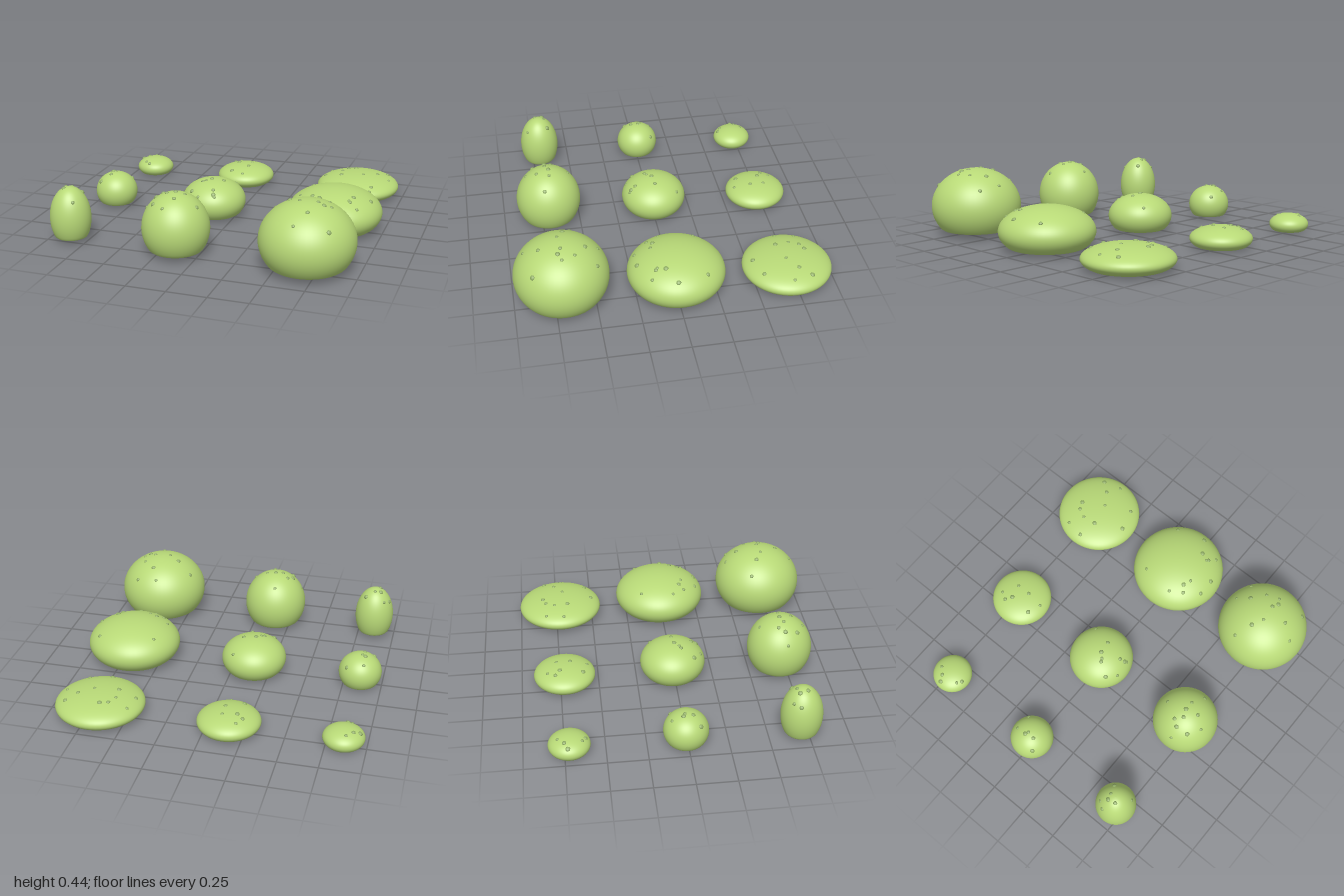
import * as THREE from 'three';

const skin = new THREE.MeshStandardMaterial({ color: 0xb8d977 });
const seedSkin = new THREE.MeshStandardMaterial({ color: 0x93b068 });

// Half-ellipse profile whose underside is pressed almost flat
function bunGeometry(radius, half) {
  const points = [];
  const steps = 40;
  for (let i = 0; i <= steps; i++) {
    const a = -Math.PI / 2 + (Math.PI * i) / steps;
    let y = Math.sin(a);
    if (y < -0.62) y = -0.62 + (y + 0.62) * 0.16;
    const onAxis = i === 0 || i === steps;
    points.push(new THREE.Vector2(onAxis ? 0 : Math.cos(a) * radius, y * half));
  }
  return new THREE.LatheGeometry(points, 56);
}

// One bun resting on the ground, with small bumps at [x, z] offsets from its centre
function makeBun(name, x, z, radius, half, bumps) {
  const bun = new THREE.Group();
  bun.name = name;
  bun.position.set(x, half * 0.8, z);

  const body = new THREE.Mesh(bunGeometry(radius, half), skin);
  body.name = 'body';
  bun.add(body);

  const up = new THREE.Vector3(0, 1, 0);
  const bumpGeometry = new THREE.SphereGeometry(1, 12, 8);
  bumps.forEach(([bx, bz], i) => {
    const by = half * Math.sqrt(Math.max(0, 1 - (bx * bx + bz * bz) / (radius * radius)));
    const normal = new THREE.Vector3(bx / radius ** 2, by / half ** 2, bz / radius ** 2).normalize();
    const size = 0.011 + 0.002 * (i % 3);
    const bump = new THREE.Mesh(bumpGeometry, seedSkin);
    bump.name = 'bump';
    bump.position.set(bx, by, bz);
    bump.quaternion.setFromUnitVectors(up, normal);
    bump.scale.set(size, size * 0.6, size);
    bun.add(bump);
  });
  return bun;
}

export function createModel() {
  const model = new THREE.Group();
  model.name = 'bunSet';
  const [small, medium, large] = [-0.856, -0.146, 0.684];
  const [back, middle, front] = [-0.72, -0.01, 0.7];

  model.add(
    // Back row: flat buns
    makeBun('smallFlatBun', small, back, 0.13, 0.071,
      [[-0.02, -0.07], [-0.06, -0.03], [-0.1, -0.01], [-0.04, 0.08], [-0.01, 0.1]]),
    makeBun('mediumFlatBun', medium, back, 0.2, 0.081,
      [[-0.07, -0.11], [-0.1, -0.06], [-0.06, -0.03], [0.03, -0.05], [0.03, 0.04], [-0.07, 0.12], [0.02, 0.15]]),
    makeBun('largeFlatBun', large, back, 0.283, 0.09,
      [[-0.21, -0.1], [-0.09, -0.1], [-0.04, -0.12], [-0.12, -0.04], [-0.23, 0.02], [-0.11, 0.05],
        [0.04, 0.02], [0.13, -0.04], [0.19, -0.11], [0.22, 0.01], [0.13, 0.18], [-0.01, 0.22]]),

    // Middle row: medium-height buns
    makeBun('smallRoundBun', small, middle, 0.14, 0.13,
      [[-0.03, -0.09], [0.08, -0.09], [-0.03, -0.02], [-0.01, -0.01], [-0.02, 0.04], [-0.08, 0.08]]),
    makeBun('mediumRoundBun', medium, middle, 0.212, 0.146,
      [[0.11, -0.14], [0.07, 0], [-0.01, 0.01], [-0.04, 0.04], [-0.06, 0.05], [-0.11, 0.13],
        [-0.05, 0.18], [0.04, 0.13], [0.05, 0.16], [0.06, 0.17]]),
    makeBun('largeRoundBun', large, middle, 0.306, 0.163,
      [[-0.18, -0.14], [0.19, -0.16], [0.24, 0.03], [-0.21, 0.08], [-0.16, 0.16], [-0.12, 0.13],
        [-0.07, 0.15], [-0.08, 0.25], [0.03, 0.25], [0.12, 0.14], [0.13, 0.15], [0.14, 0.09], [0.18, 0.18]]),

    // Front row: tall buns
    makeBun('smallTallBun', small, front, 0.13, 0.202,
      [[-0.07, -0.07], [-0.1, -0.03], [-0.04, -0.03], [0, -0.04], [-0.03, 0.02], [0.06, -0.06], [0.06, 0.08]]),
    makeBun('mediumTallBun', medium, front, 0.211, 0.225,
      [[-0.02, -0.14], [-0.09, -0.03], [-0.12, 0.01], [-0.18, 0.02], [-0.05, 0.01], [0, -0.01],
        [0.06, -0.01], [0.02, 0.07], [-0.11, 0.09], [-0.03, 0.14], [0.15, 0.03]]),
    makeBun('largeTallBun', large, front, 0.294, 0.25,
      [[-0.01, -0.23], [0.13, -0.21], [0.03, -0.15], [0.11, -0.08], [-0.22, -0.08], [-0.12, -0.03],
        [-0.05, 0.01], [0.06, 0], [0.1, 0.02], [0.14, 0], [0.03, 0.13], [0.17, 0.18], [-0.03, 0.22]]),
  );

  // Drop so the lowest underside touches the ground
  model.children.forEach((bun) => { bun.position.y -= 0.008; });
  return model;
}
